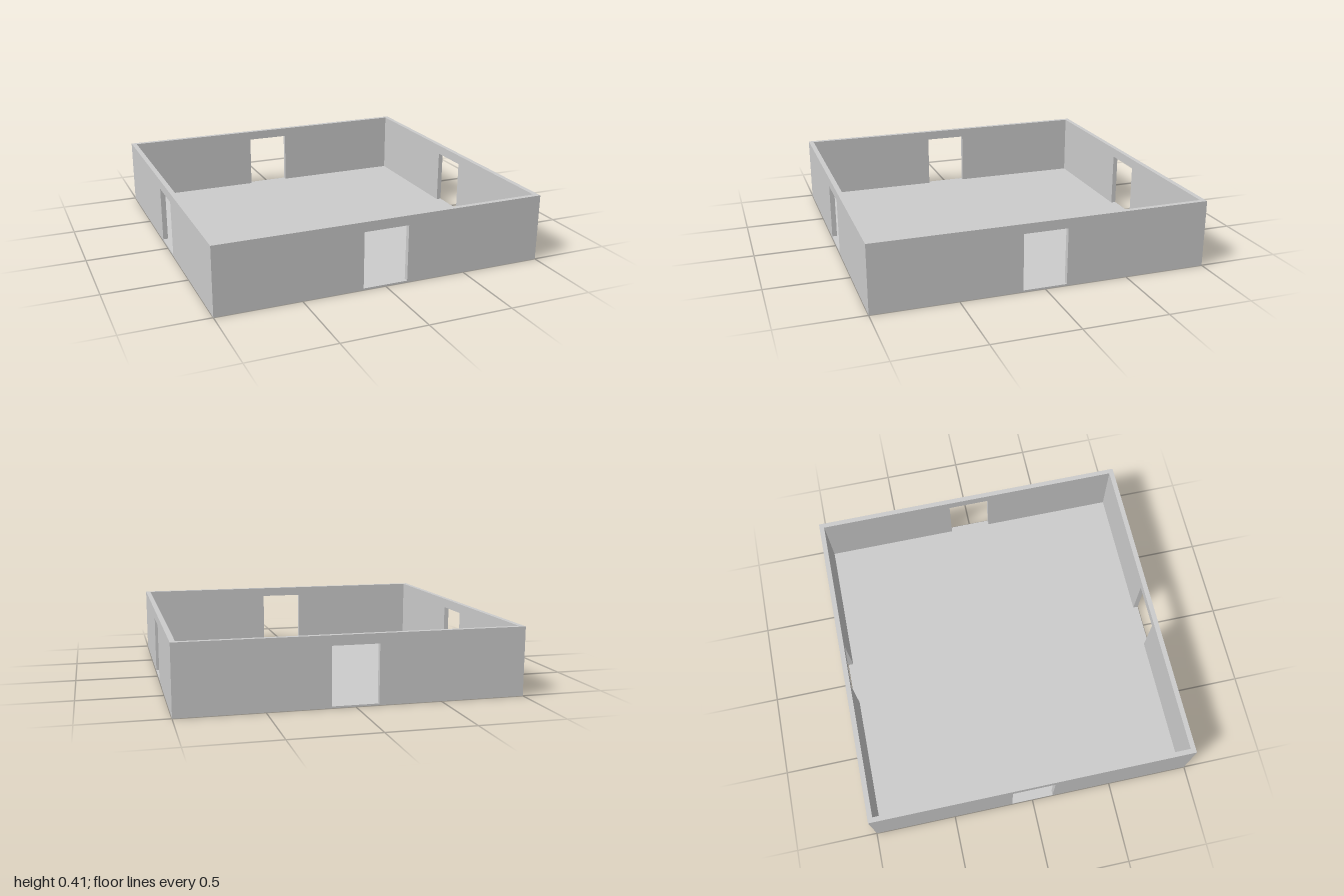
import * as THREE from 'three';

const HALF = 1;         // half the side of the square room
const HEIGHT = 0.405;   // top of the walls
const FLOOR = 0.01;     // floor slab thickness
const WALL = 0.03;      // wall thickness
const DOOR_TOP = 0.347;

// Wall outline with a doorway notched out of its lower edge
function wallGeometry(halfLength, doorHalf) {
  const shape = new THREE.Shape([
    [-halfLength, FLOOR], [-doorHalf, FLOOR], [-doorHalf, DOOR_TOP], [doorHalf, DOOR_TOP],
    [doorHalf, FLOOR], [halfLength, FLOOR], [halfLength, HEIGHT], [-halfLength, HEIGHT],
  ].map(([x, y]) => new THREE.Vector2(x, y)));
  return new THREE.ExtrudeGeometry(shape, { depth: WALL, bevelEnabled: false })
    .translate(0, 0, HALF - WALL);
}

export function createModel() {
  const room = new THREE.Group();
  room.name = 'room';
  const material = new THREE.MeshStandardMaterial({ color: 0xcccccc });

  // Floor slab
  const floor = new THREE.Mesh(new THREE.BoxGeometry(2 * HALF, FLOOR, 2 * HALF), material);
  floor.name = 'floor';
  floor.position.y = FLOOR / 2;
  room.add(floor);

  // Front and back walls run full length; side walls fit between them
  const longWall = wallGeometry(HALF, 0.136);
  const shortWall = wallGeometry(HALF - WALL, 0.131);
  ['frontWall', 'leftWall', 'backWall', 'rightWall'].forEach((name, i) => {
    const wall = new THREE.Mesh(i % 2 ? shortWall : longWall, material);
    wall.name = name;
    wall.rotation.y = i * Math.PI / 2;
    room.add(wall);
  });

  return room;
}
